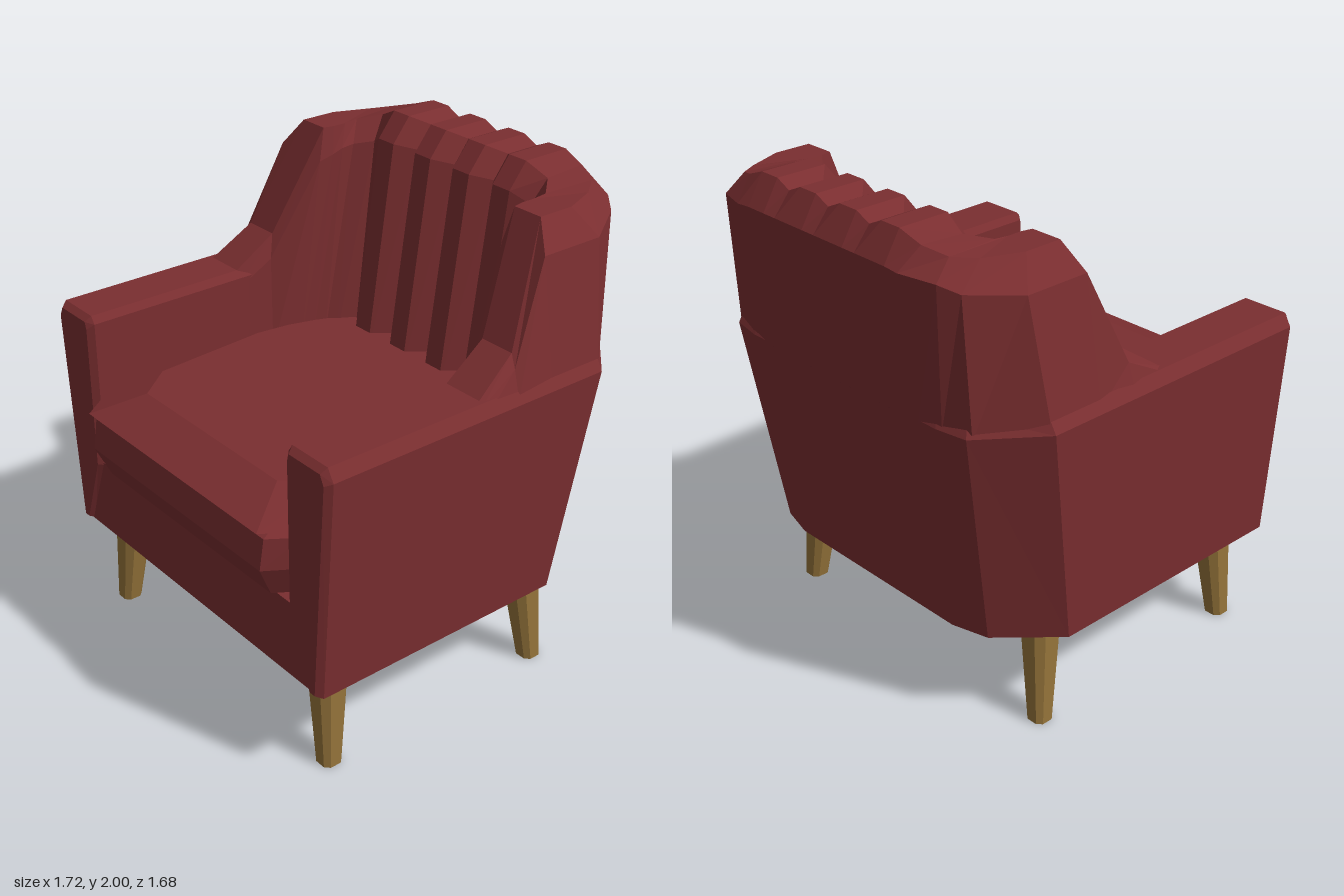
import * as THREE from 'three';

// Skins a row of matching closed cross-sections into a faceted solid with capped ends.
function skin(sections) {
  const pos = [];
  const tri = (a, b, c) => pos.push(...a, ...b, ...c);
  const n = sections[0].length;
  for (let i = 0; i < sections.length - 1; i++) {
    for (let j = 0; j < n; j++) {
      const k = (j + 1) % n;
      const [a, b, c, d] = [sections[i][j], sections[i][k], sections[i + 1][k], sections[i + 1][j]];
      tri(a, b, c);
      tri(a, c, d);
    }
  }
  const cap = (s, flip) => {
    const mid = [0, 1, 2].map(q => s.reduce((t, p) => t + p[q], 0) / n);
    s.forEach((p, j) => {
      const r = s[(j + 1) % n];
      flip ? tri(mid, r, p) : tri(mid, p, r);
    });
  };
  cap(sections[0], true);
  cap(sections[sections.length - 1], false);

  // Turn the faces outward when the enclosed volume comes out negative
  let volume = 0;
  const v = [0, 1, 2].map(() => new THREE.Vector3());
  for (let i = 0; i < pos.length; i += 9) {
    v.forEach((p, q) => p.fromArray(pos, i + q * 3));
    volume += v[0].dot(v[1].clone().cross(v[2]));
  }
  if (volume < 0) {
    for (let i = 0; i < pos.length; i += 9) {
      for (let q = 3; q < 6; q++) [pos[i + q], pos[i + q + 3]] = [pos[i + q + 3], pos[i + q]];
    }
  }
  const g = new THREE.BufferGeometry();
  g.setAttribute('position', new THREE.Float32BufferAttribute(pos, 3));
  g.computeVertexNormals();
  return g;
}

const flipX = s => s.map(([x, y, z]) => [-x, y, z]);
// Completes a centre-outward run of sections with its mirror image; the first lies on x = 0
const wrap = half => [...half.slice(1).reverse().map(flipX), ...half];
// Horizontal ring from its +x half, listed front to back
const ring = (y, half) => [
  ...half.map(([x, z]) => [x, y, z]),
  ...half.slice().reverse().map(([x, z]) => [-x, y, z]),
];

export function createModel() {
  const group = new THREE.Group();
  const fabric = new THREE.MeshStandardMaterial({ color: 0x7a2e30 });
  fabric.name = 'redFabric';
  const wood = new THREE.MeshStandardMaterial({ color: 0x94733a });
  wood.name = 'wood';
  const add = (name, geometry, material) => {
    const m = new THREE.Mesh(geometry, material);
    m.name = name;
    group.add(m);
  };

  // Arms and lower back: one wall running round the seat.
  // Each section: outer bottom, outer top, chamfer, inner top, inner chamfer, inner low, inner bottom
  const arm = (zTop, zBottom, i = 0) => [
    [0.80 - i, 0.41 + i * 0.5, zBottom], [0.86 - i, 1.33 - i * 0.5, zTop], [0.83 - i * 0.5, 1.38 - i, zTop],
    [0.64 + i * 0.5, 1.38 - i, zTop], [0.62 + i, 1.35 - i, zTop], [0.62 + i, 0.72, zTop],
    [0.74 + i * 0.5, 0.41 + i * 0.5, zBottom],
  ];
  const backWall = (xt, zt, xb, zb, xi, zi) => [
    [xb, 0.41, zb], [xt, 1.31, zt], [xt * 0.96, 1.38, zt + 0.03],
    [xi, 1.38, zi], [xi, 1.35, zi], [xi, 0.72, zi], [xi, 0.41, zi],
  ];
  add('armsAndLowerBack', skin(wrap([
    backWall(0, -0.757, 0, -0.63, 0, -0.56),
    backWall(0.52, -0.757, 0.45, -0.63, 0.40, -0.56),
    backWall(0.65, -0.735, 0.60, -0.59, 0.50, -0.52),
    arm(-0.52, -0.37),
    arm(0.745, 0.745),
    arm(0.77, 0.77, 0.022),
  ])), fabric);

  // Seat base with its front apron
  add('seatBase', skin([
    ring(0.41, [[0.755, 0.752], [0.755, -0.30], [0.51, -0.55]]),
    ring(0.73, [[0.63, 0.752], [0.63, -0.30], [0.50, -0.55]]),
  ]), fabric);

  // Seat cushion: lower pillow, groove and bevelled top
  const cushionRing = (y, x, z, side) =>
    ring(y, [[x, z], [side, z - 0.11], [side, 0], [0.56, -0.35], [0.40, -0.45]]);
  add('seatCushion', skin([
    cushionRing(0.73, 0.53, 0.77, 0.60),
    cushionRing(0.86, 0.55, 0.83, 0.62),
    cushionRing(0.985, 0.55, 0.81, 0.625),
    cushionRing(1.0, 0.54, 0.775, 0.61),
    cushionRing(1.02, 0.55, 0.84, 0.63),
    ring(1.10, [[0.42, 0.65], [0.54, 0.50], [0.58, 0.0], [0.54, -0.33], [0.40, -0.45]]),
  ]), fabric);

  // Channelled backrest and wings.
  // Each section: seat line, front bend, top front, top back, rear edge, rear low
  const channel = (x, ridge) => [
    [x, 1.0, ridge ? -0.35 : -0.43],
    [x, ridge ? 1.90 : 1.88, ridge ? -0.48 : -0.55],
    [x, ridge ? 2.0 : 1.97, ridge ? -0.56 : -0.62],
    [x, ridge ? 2.0 : 1.97, -0.77],
    [x, 1.885, -0.84], [x, 1.30, -0.758],
  ];
  const back = [channel(0, false)];
  for (const c of [0.11, 0.33]) {
    back.push(channel(c - 0.045, true), channel(c + 0.045, true));
    if (c < 0.3) back.push(channel(0.22, false));
  }
  back.push(
    [[0.44, 1.0, -0.41], [0.45, 1.86, -0.52], [0.47, 1.955, -0.58], [0.47, 1.965, -0.76], [0.44, 1.88, -0.84], [0.43, 1.30, -0.758]],
    [[0.48, 1.0, -0.34], [0.50, 1.85, -0.45], [0.54, 1.935, -0.50], [0.56, 1.94, -0.72], [0.58, 1.87, -0.795], [0.54, 1.30, -0.745]],
    [[0.51, 1.0, -0.30], [0.51, 1.84, -0.40], [0.54, 1.93, -0.44], [0.62, 1.93, -0.64], [0.645, 1.84, -0.745], [0.66, 1.30, -0.715]],
    [[0.53, 1.0, -0.25], [0.52, 1.82, -0.36], [0.54, 1.93, -0.38], [0.68, 1.93, -0.49], [0.76, 1.82, -0.56], [0.84, 1.34, -0.52]],
    [[0.545, 1.0, -0.20], [0.53, 1.80, -0.30], [0.55, 1.93, -0.335], [0.68, 1.93, -0.335], [0.76, 1.82, -0.285], [0.84, 1.34, -0.28]],
    [[0.58, 1.0, -0.08], [0.61, 1.40, -0.10], [0.63, 1.50, -0.125], [0.78, 1.50, -0.125], [0.81, 1.45, -0.115], [0.845, 1.34, -0.11]],
    [[0.625, 1.0, 0.06], [0.625, 1.30, 0.06], [0.64, 1.375, 0.06], [0.81, 1.375, 0.06], [0.83, 1.36, 0.06], [0.85, 1.32, 0.06]],
  );
  add('backrestAndWings', skin(wrap(back)), fabric);

  // Splayed, tapering legs with chamfered corners
  const foot = (x, y, z, r) => {
    const c = r * 0.55;
    return [[r, c], [c, r], [-c, r], [-r, c], [-r, -c], [-c, -r], [c, -r], [r, -c]]
      .map(([dx, dz]) => [x + dx, y, z + dz]);
  };
  for (const [name, zTop, zBottom] of [['front', 0.61, 0.638], ['back', -0.37, -0.405]]) {
    for (const s of [1, -1]) {
      add(name + (s > 0 ? 'LeftLeg' : 'RightLeg'),
        skin([foot(s * 0.69, 0, zBottom, 0.042), foot(s * 0.65, 0.42, zTop, 0.068)]), wood);
    }
  }
  return group;
}
